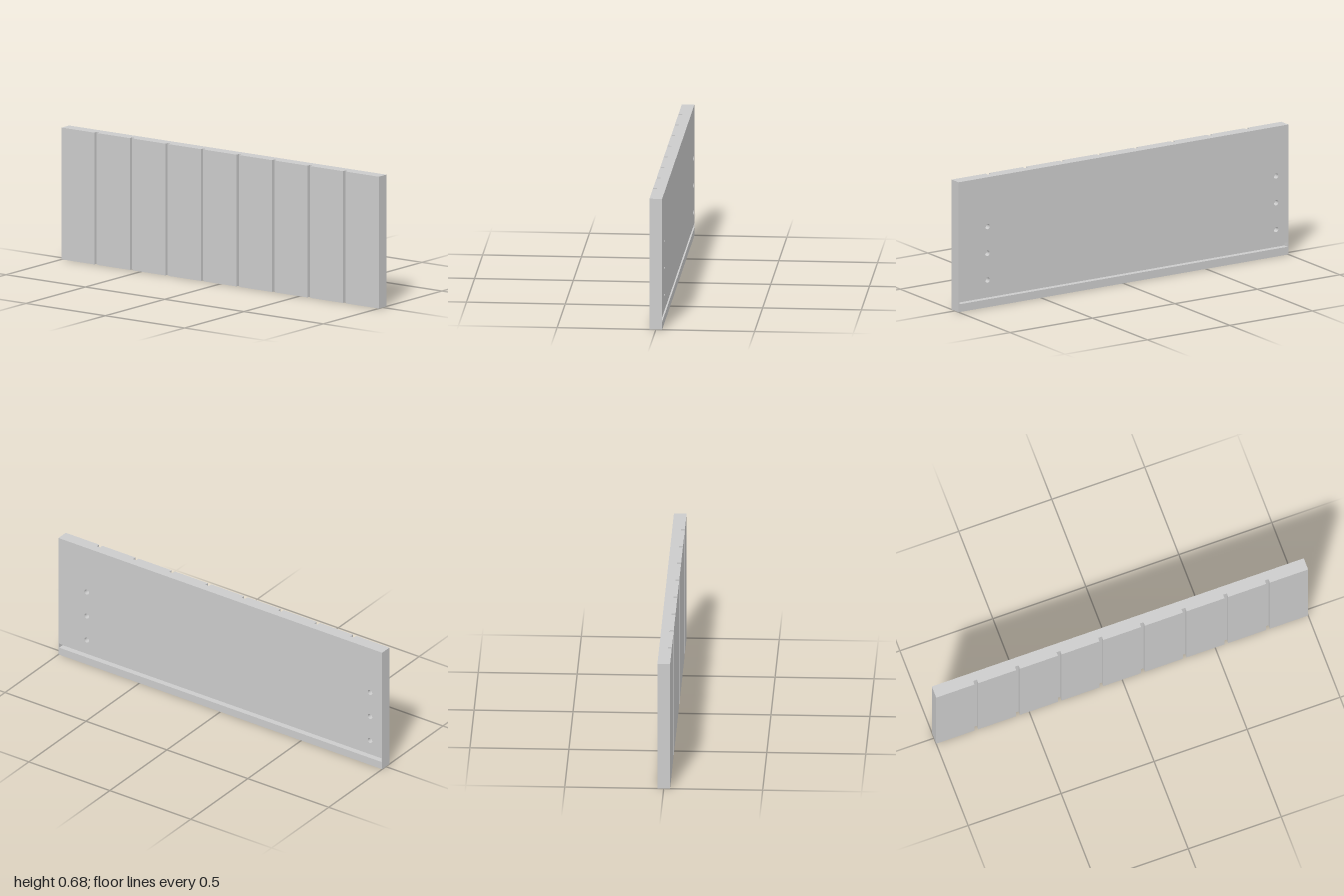
import * as THREE from 'three';

const W = 1, H = 0.68, Z = 0.032;      // half width, height, half thickness
const POCKET = 0.03;                   // depth of the rear groove and peg holes
const SLOT_W = 0.01, SLOT_D = 0.02;    // half width and depth of the front slots

export function createModel() {
  const group = new THREE.Group();
  group.name = 'groovedPanel';
  const material = new THREE.MeshStandardMaterial({ color: 0xcccccc, flatShading: true });
  const add = (name, geometry) => {
    const mesh = new THREE.Mesh(geometry, material);
    mesh.name = name;
    group.add(mesh);
  };

  // Front layer: plan outline with eight vertical slots, extruded upwards
  const plan = new THREE.Shape();
  plan.moveTo(-W, -Z);
  for (let i = 0; i < 8; i++) {
    const x = (i - 3.5) * 0.224;
    plan.lineTo(x - SLOT_W, -Z);
    plan.lineTo(x - SLOT_W, -Z + SLOT_D);
    plan.lineTo(x + SLOT_W, -Z + SLOT_D);
    plan.lineTo(x + SLOT_W, -Z);
  }
  plan.lineTo(W, -Z);
  plan.lineTo(W, Z - POCKET);
  plan.lineTo(-W, Z - POCKET);
  plan.closePath();
  add('slottedFront', new THREE.ExtrudeGeometry(plan, { depth: H, bevelEnabled: false }).rotateX(-Math.PI / 2));

  // Rear layer: board pierced by the bottom groove and two columns of peg holes
  const rectangle = (path, x, y0, y1) => {
    path.moveTo(-x, y0);
    path.lineTo(x, y0);
    path.lineTo(x, y1);
    path.lineTo(-x, y1);
    path.closePath();
    return path;
  };
  const back = rectangle(new THREE.Shape(), W, 0, H);
  back.holes.push(rectangle(new THREE.Path(), W - 0.004, 0.041, 0.065));
  for (const x of [0.825, -0.925]) {
    for (const y of [0.142, 0.282, 0.422]) {
      back.holes.push(new THREE.Path().absarc(x, y, 0.014, 0, Math.PI * 2, true));
    }
  }
  add('drilledBack', new THREE.ExtrudeGeometry(back, { depth: POCKET, bevelEnabled: false, curveSegments: 16 })
    .translate(0, 0, -Z));

  return group;
}
